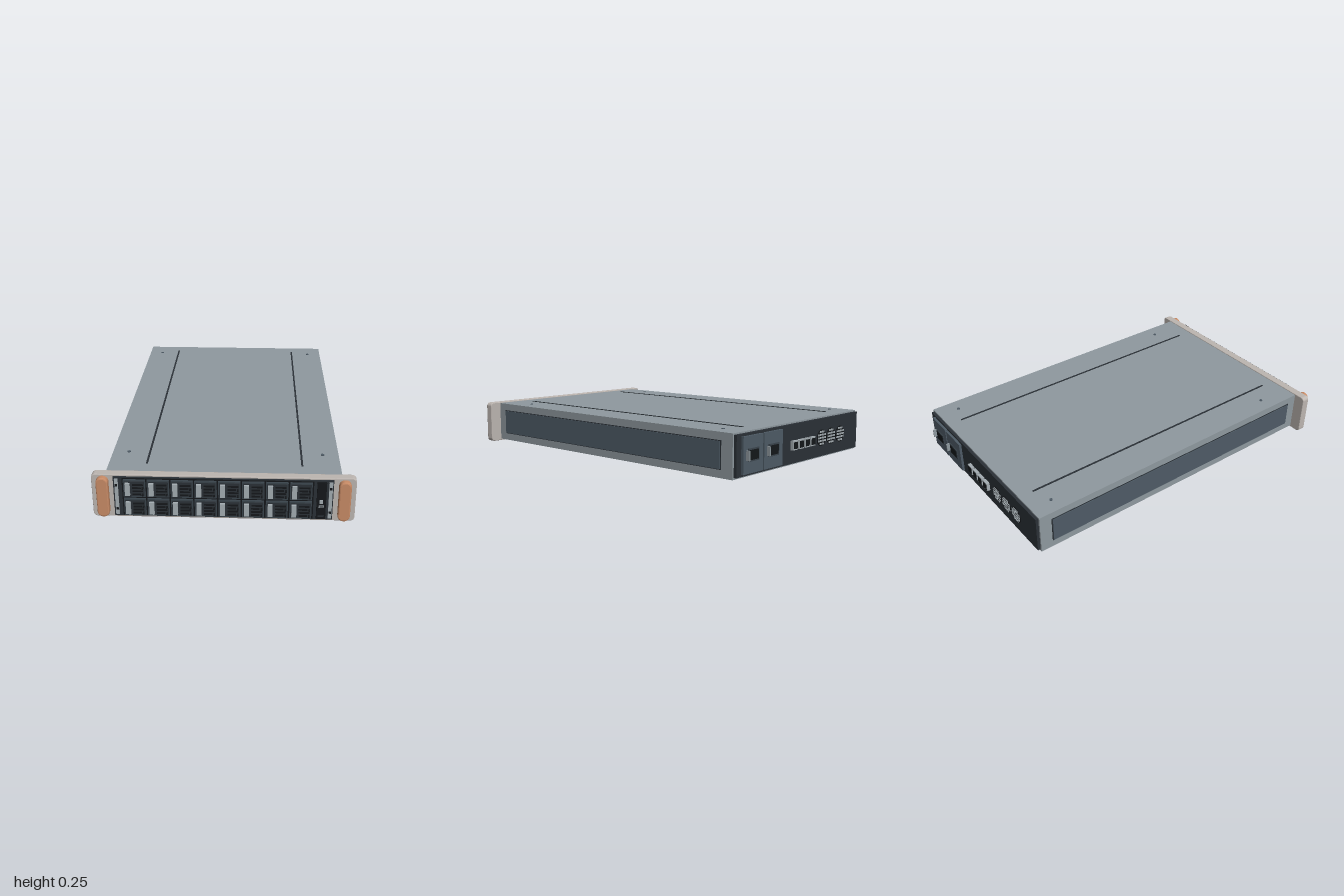
import * as THREE from 'three';

const mat = (name, color, side = THREE.FrontSide) => {
  const m = new THREE.MeshStandardMaterial({ color, side });
  m.name = name;
  return m;
};

export function createModel() {
  const steel = mat('steel', 0x8f999f);
  const slate = mat('slate', 0x4e5b66);
  const graphite = mat('graphite', 0x2b3137);
  const carrierGrey = mat('carrierGrey', 0x3a444c);
  const black = mat('black', 0x14171a);
  const bezelGrey = mat('bezelGrey', 0xbdb6b1);
  const copper = mat('copper', 0xc88b66);
  const silver = mat('silver', 0xa4adb2);

  const model = new THREE.Group();
  model.name = 'rackServer';

  // Box given by its limits on each axis
  const box = (name, material, [x0, x1], [y0, y1], [z0, z1], parent = model) => {
    const mesh = new THREE.Mesh(new THREE.BoxGeometry(x1 - x0, y1 - y0, z1 - z0), material);
    mesh.position.set((x0 + x1) / 2, (y0 + y1) / 2, (z0 + z1) / 2);
    mesh.name = name;
    parent.add(mesh);
    return mesh;
  };

  // Rounded plate standing in the xy plane, from z0 to z1
  const plate = (name, material, w, h, r, cx, cy, z0, z1, bevel) => {
    const a = w / 2 - bevel, b = h / 2 - bevel;
    const s = new THREE.Shape();
    s.moveTo(-a + r, -b);
    s.lineTo(a - r, -b);
    s.absarc(a - r, -b + r, r, -Math.PI / 2, 0);
    s.lineTo(a, b - r);
    s.absarc(a - r, b - r, r, 0, Math.PI / 2);
    s.lineTo(-a + r, b);
    s.absarc(-a + r, b - r, r, Math.PI / 2, Math.PI);
    s.lineTo(-a, -b + r);
    s.absarc(-a + r, -b + r, r, Math.PI, Math.PI * 1.5);
    const geo = new THREE.ExtrudeGeometry(s, {
      depth: z1 - z0 - 2 * bevel, curveSegments: 8,
      bevelEnabled: true, bevelSize: bevel, bevelThickness: bevel, bevelSegments: 2,
    });
    const mesh = new THREE.Mesh(geo, material);
    mesh.position.set(cx, cy, z0 + bevel);
    mesh.name = name;
    model.add(mesh);
  };

  // Chassis and front bezel
  box('chassis', steel, [-0.6, 0.6], [0.01, 0.24], [-0.95, 0.92]);
  plate('bezel', bezelGrey, 1.34, 0.246, 0.018, 0, 0.123, 0.914, 0.96, 0.004);
  box('frontPanel', graphite, [-0.557, 0.555], [0.012, 0.237], [0.95, 0.968]);

  for (const s of [-1, 1]) {
    plate('handle', copper, 0.062, 0.225, 0.022, s * 0.612, 0.125, 0.95, 0.99, 0.007);
    // Side panel with a dark edge
    const span = (a, b) => (s > 0 ? [a, b] : [-b, -a]);
    box('sidePanelEdge', graphite, span(0.597, 0.603), [0.052, 0.199], [-0.88, 0.855]);
    box('sidePanel', slate, span(0.597, 0.607), [0.056, 0.195], [-0.875, 0.85]);
    // Lid seams and screws
    box('lidSeam', graphite, span(0.397, 0.407), [0.236, 0.243], [-0.865, 0.83]);
    for (const z of [-0.825, 0.7]) {
      const screw = new THREE.Mesh(new THREE.CylinderGeometry(0.009, 0.009, 0.006, 16), slate);
      screw.position.set(s * 0.515, 0.241, z);
      screw.name = 'lidScrew';
      model.add(screw);
    }
    // Upright strips beside the drive bays
    const cx = s * 0.541;
    box('frontStrip', silver, [cx - 0.009, cx + 0.009], [0.022, 0.228], [0.96, 0.974]);
    for (const y of [0.057, 0.193]) {
      box('stripHole', black, [cx - 0.006, cx + 0.006], [y - 0.006, y + 0.006], [0.97, 0.977]);
    }
  }

  // Drive bays, eight across and two high
  box('bayBack', black, [-0.512, 0.456], [0.018, 0.232], [0.96, 0.971]);
  const drive = (cx, cy) => {
    const g = new THREE.Group();
    g.name = 'drive';
    g.position.set(cx, cy, 0);
    model.add(g);
    box('carrier', carrierGrey, [-0.056, 0.056], [-0.048, 0.048], [0.965, 0.982], g);
    box('carrierFace', graphite, [-0.051, 0.051], [-0.041, 0.041], [0.975, 0.985], g);
    box('latch', silver, [-0.046, -0.021], [-0.035, 0.035], [0.98, 0.997], g);
    for (let i = 0; i < 4; i++) {
      const y = 0.024 - i * 0.018;
      box('ventSlot', black, [-0.009, i % 2 ? 0.034 : 0.045], [y - 0.004, y + 0.004], [0.98, 0.989], g);
    }
    for (const y of [0.007, -0.029]) {
      box('statusLight', black, [0.039, 0.047], [y - 0.004, y + 0.004], [0.98, 1.0], g);
    }
  };
  for (let i = 0; i < 8; i++) for (const y of [0.071, 0.179]) drive(-0.448 + i * 0.12, y);

  // Control panel
  box('controlPanel', black, [0.472, 0.519], [0.02, 0.23], [0.96, 0.98]);
  box('powerButton', silver, [0.486, 0.502], [0.114, 0.134], [0.975, 0.988]);
  box('dataPort', silver, [0.483, 0.508], [0.088, 0.101], [0.975, 0.985]);
  box('dataPortSlot', black, [0.487, 0.504], [0.092, 0.097], [0.98, 0.987]);
  box('displaySlot', graphite, [0.48, 0.511], [0.035, 0.042], [0.975, 0.984]);

  // Rear panel
  box('rearPanel', graphite, [-0.59, 0.59], [0.02, 0.232], [-0.966, -0.94]);

  // Power supplies with socket and pull tab
  for (const x of [0.296, 0.471]) {
    box('powerSupply', slate, [x - 0.082, x + 0.082], [0.032, 0.22], [-0.98, -0.95]);
    box('powerSocketRim', carrierGrey, [x - 0.045, x + 0.045], [0.092, 0.158], [-0.984, -0.97]);
    box('powerSocket', black, [x - 0.036, x + 0.036], [0.1, 0.15], [-0.987, -0.97]);
    box('pullTab', steel, [x + 0.053, x + 0.06], [0.1, 0.15], [-1.0, -0.97]);
  }

  // Rear ports
  for (let i = 0; i < 4; i++) {
    const x = 0.095 - i * 0.058;
    box('rearPort', silver, [x - 0.023, x + 0.023], [0.095, 0.145], [-0.984, -0.95]);
    box('rearPortOpening', black, [x - 0.017, x + 0.017], [0.102, 0.138], [-0.987, -0.97]);
  }

  // Round rear vents made of small cells
  for (const x of [-0.19, -0.29, -0.39]) {
    const disc = new THREE.Mesh(new THREE.CylinderGeometry(0.046, 0.046, 0.01, 24), black);
    disc.rotation.x = Math.PI / 2;
    disc.position.set(x, 0.125, -0.965);
    disc.name = 'rearVent';
    model.add(disc);
    for (let i = -2; i <= 2; i++) {
      for (let j = -2; j <= 2; j++) {
        if (Math.abs(i * j) === 4) continue;
        const cx = x + i * 0.017, cy = 0.125 + j * 0.017;
        box('ventCell', silver, [cx - 0.006, cx + 0.006], [cy - 0.005, cy + 0.005], [-0.973, -0.965]);
      }
    }
  }

  return model;
}
